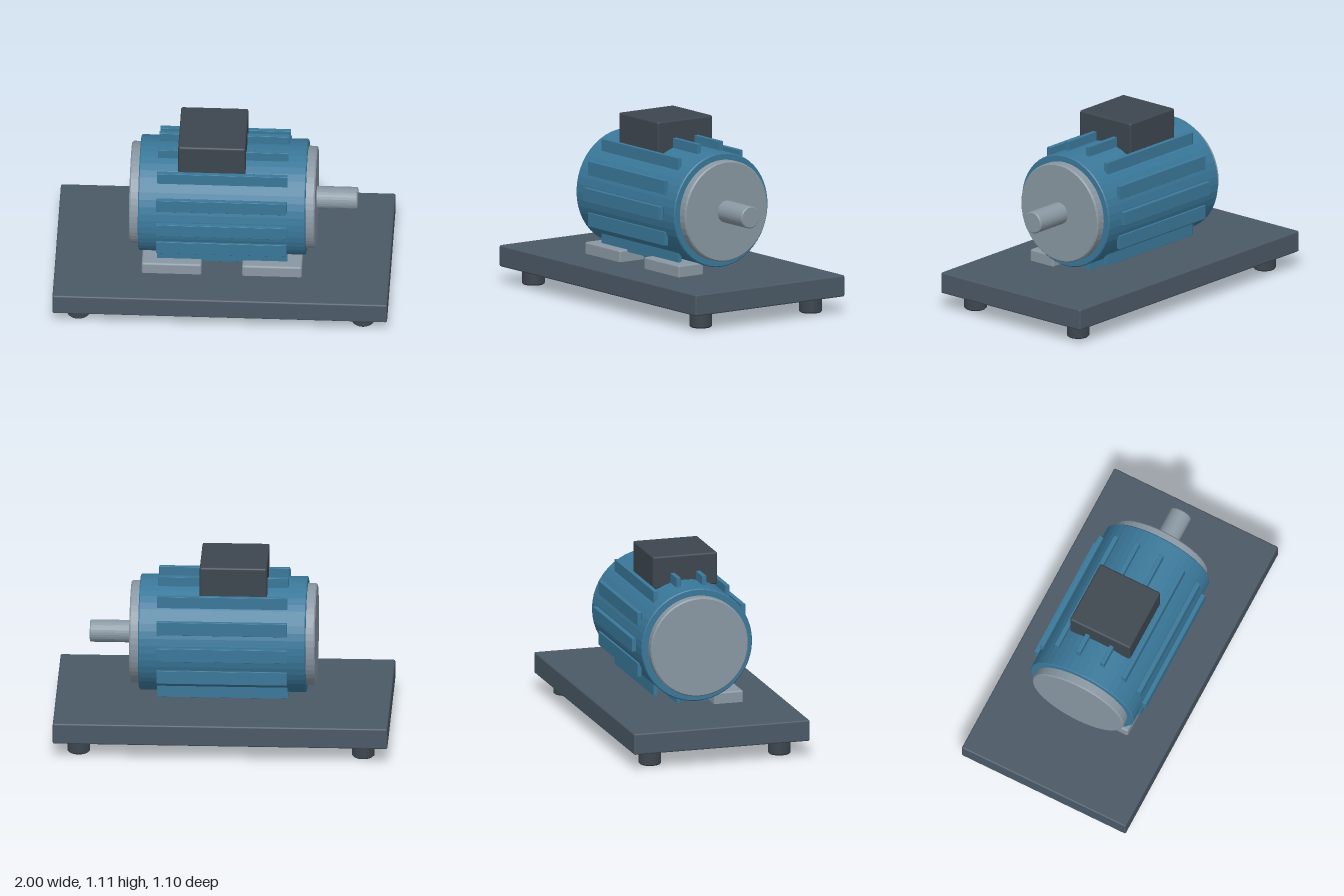
import * as THREE from 'three';
import { RoundedBoxGeometry } from 'three/addons/geometries/RoundedBoxGeometry.js';

const paint = (color) => new THREE.MeshStandardMaterial({ color });
const facet = (color) => new THREE.MeshStandardMaterial({ color, flatShading: true });

const BLUE = 0x3a789a, STEEL = 0x8a98a3, SLATE = 0x4b5966, DARK = 0x3d464f;
const AXIS_Y = 0.61;

export function createModel() {
  const model = new THREE.Group();

  const add = (name, geometry, material, x, y, z) => {
    const mesh = new THREE.Mesh(geometry, material);
    mesh.name = name;
    mesh.position.set(x, y, z);
    model.add(mesh);
    return mesh;
  };

  // Box with softly rounded edges
  const block = (name, w, h, d, r, color, x, y, z) =>
    add(name, new RoundedBoxGeometry(w, h, d, 2, r), paint(color), x, y, z);

  // Solid disc or rod with chamfered rims, standing on y
  const rod = (radius, length, bevel, sides) => {
    const h = length / 2;
    const profile = [[0, -h], [radius - bevel, -h], [radius, -h + bevel],
      [radius, h - bevel], [radius - bevel, h], [0, h]];
    return new THREE.LatheGeometry(profile.map(([x, y]) => new THREE.Vector2(x, y)), sides);
  };

  // Rod lying along the motor axis between two x positions
  const axial = (name, radius, x0, x1, bevel, sides, color) =>
    add(name, rod(radius, x1 - x0, bevel, sides).rotateZ(-Math.PI / 2), facet(color),
      (x0 + x1) / 2, AXIS_Y, 0);

  // Base plate and its four feet
  block('basePlate', 2, 0.13, 1.1, 0.01, SLATE, 0, 0.165, 0);
  for (const x of [-0.85, 0.85]) {
    for (const z of [-0.405, 0.405]) {
      add('foot', rod(0.068, 0.115, 0.008, 24), facet(DARK), x, 0.0575, z);
    }
  }

  // Motor housing, end caps and output shaft
  axial('housing', 0.346, -0.5, 0.5, 0.006, 48, BLUE);
  axial('leftEndCap', 0.305, 0.45, 0.555, 0.008, 48, STEEL);
  axial('rightEndCap', 0.305, -0.555, -0.45, 0.008, 48, STEEL);
  axial('shaft', 0.067, 0.5, 0.8, 0.006, 28, STEEL);

  // Cooling fins: upright strips set evenly around the housing
  const finCount = 14;
  const finGeometry = new RoundedBoxGeometry(0.78, 0.083, 0.027, 1, 0.002);
  const finMaterial = paint(BLUE);
  for (let i = 0; i < finCount; i++) {
    const a = (i / finCount) * Math.PI * 2;
    add('coolingFin', finGeometry, finMaterial,
      0, AXIS_Y + 0.36 * Math.sin(a), 0.36 * Math.cos(a));
  }

  // Terminal box on top
  block('terminalBox', 0.402, 0.2, 0.404, 0.012, DARK, -0.064, 1.009, 0);

  // Mounting pads along the front
  for (const x of [-0.3, 0.3]) {
    block('mountingPad', 0.358, 0.09, 0.184, 0.012, STEEL, x, 0.256, 0.205);
  }

  return model;
}
